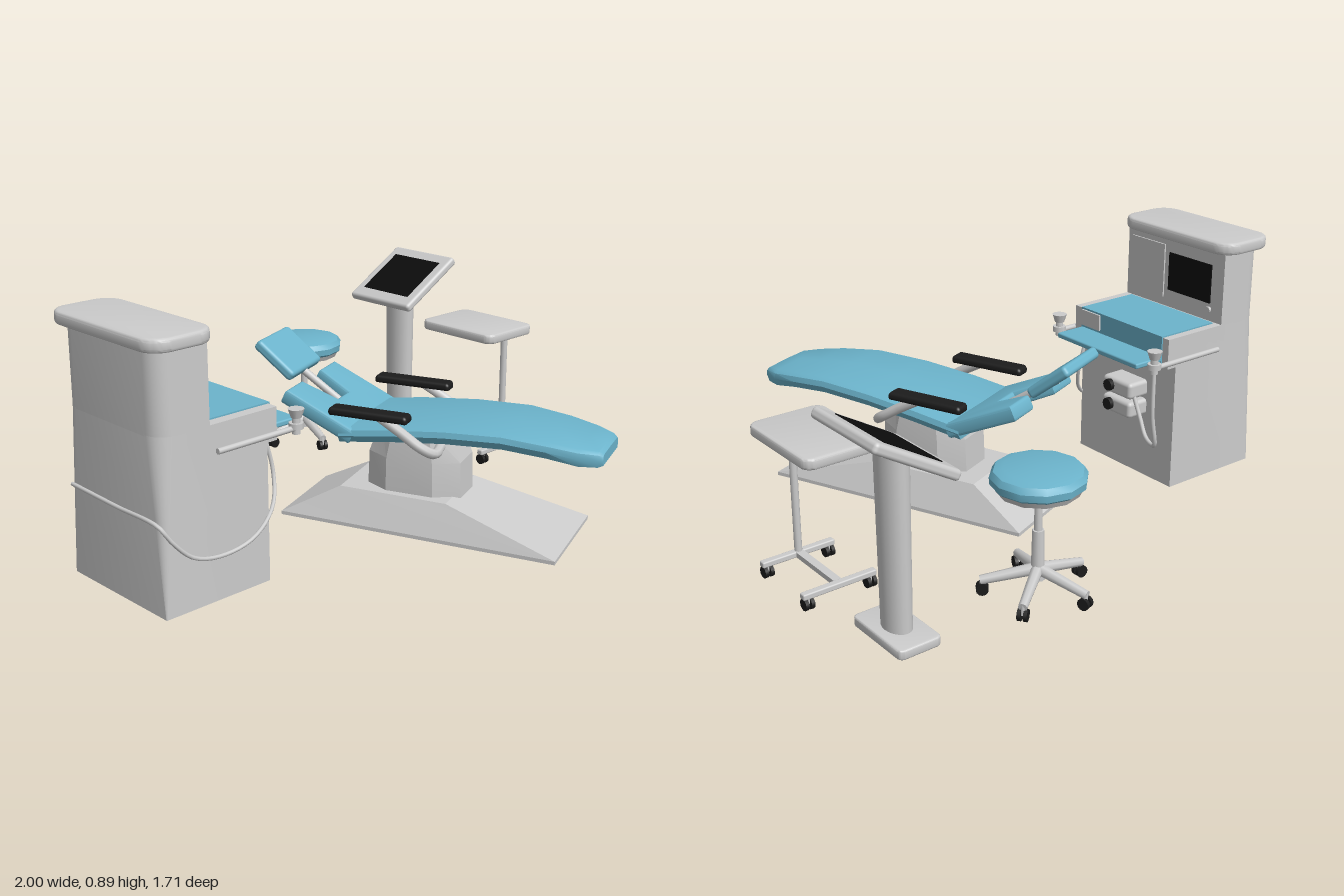
import * as THREE from 'three';
import { toCreasedNormals } from 'three/addons/utils/BufferGeometryUtils.js';
import { RoundedBoxGeometry } from 'three/addons/geometries/RoundedBoxGeometry.js';

const mat = (color, o = {}) => new THREE.MeshStandardMaterial({ color, ...o });
const grey = mat(0xcccccc), blue = mat(0x6cb4cc), black = mat(0x1c1c1c), dark = mat(0x0c0c0c);
const greyOpen = mat(0xcccccc, { side: THREE.DoubleSide });
const V = (x, y, z) => new THREE.Vector3(x, y, z);

function add(parent, name, geo, m, x = 0, y = 0, z = 0) {
  const mesh = new THREE.Mesh(geo, m);
  mesh.name = name;
  mesh.position.set(x, y, z);
  parent.add(mesh);
  return mesh;
}
function group(parent, name) {
  const g = new THREE.Group();
  g.name = name;
  parent.add(g);
  return g;
}
// box given by its limits, optionally rounded
function box(parent, name, m, [x0, x1], [y0, y1], [z0, z1], r = 0) {
  const s = [x1 - x0, y1 - y0, z1 - z0];
  const geo = r ? new RoundedBoxGeometry(...s, 2, r) : new THREE.BoxGeometry(...s);
  return add(parent, name, geo, m, (x0 + x1) / 2, (y0 + y1) / 2, (z0 + z1) / 2);
}
function tube(parent, name, m, pts, r, n = 24) {
  const curve = new THREE.CatmullRomCurve3(pts.map(p => V(...p)));
  return add(parent, name, new THREE.TubeGeometry(curve, n, r, 8), m);
}
function rod(parent, name, m, a, b, r0, r1 = r0, sides = 10) {
  const d = V(...b).sub(V(...a));
  const mesh = add(parent, name, new THREE.CylinderGeometry(r1, r0, d.length(), sides), m);
  mesh.position.set(...a).addScaledVector(d, 0.5);
  mesh.quaternion.setFromUnitVectors(V(0, 1, 0), d.normalize());
  return mesh;
}
// skin over rings of equal point count; faces are turned outward
function loft(rings, capStart = true, crease = 0.7) {
  const n = rings[0].length, pts = rings.flat(), idx = [];
  for (let i = 0; i < rings.length - 1; i++) for (let j = 0; j < n; j++) {
    const a = i * n + j, b = i * n + (j + 1) % n;
    idx.push(a, b, b + n, a, b + n, a + n);
  }
  const cap = (first, flip) => {
    const c = V(0, 0, 0);
    for (let j = 0; j < n; j++) c.addScaledVector(pts[first + j], 1 / n);
    const k = pts.push(c) - 1;
    for (let j = 0; j < n; j++) {
      const a = first + j, b = first + (j + 1) % n;
      idx.push(k, flip ? b : a, flip ? a : b);
    }
  };
  cap((rings.length - 1) * n, false);
  if (capStart) cap(0, true);
  let vol = 0;
  const o = pts[0];
  for (let i = 0; i < idx.length; i += 3) {
    const [a, b, c] = [0, 1, 2].map(k => pts[idx[i + k]].clone().sub(o));
    vol += a.dot(b.cross(c));
  }
  if (vol < 0) idx.reverse();
  const g = new THREE.BufferGeometry().setFromPoints(pts);
  g.setIndex(idx);
  return toCreasedNormals(g, crease);
}
function roundedRect(w, h, r) {
  const s = new THREE.Shape(), x = w / 2, y = h / 2;
  s.absarc(x - r, y - r, r, 0, Math.PI / 2);
  s.absarc(-x + r, y - r, r, Math.PI / 2, Math.PI);
  s.absarc(-x + r, -y + r, r, Math.PI, Math.PI * 1.5);
  s.absarc(x - r, -y + r, r, Math.PI * 1.5, Math.PI * 2);
  return s;
}
// horizontal slab with rounded plan and softened edges
function slab(parent, name, m, [x0, x1], [y0, y1], [z0, z1], r, bevel = 0.01) {
  const geo = new THREE.ExtrudeGeometry(roundedRect(x1 - x0 - 2 * bevel, z1 - z0 - 2 * bevel, r), {
    depth: y1 - y0 - 2 * bevel, bevelSize: bevel, bevelThickness: bevel, bevelSegments: 3, curveSegments: 6 });
  geo.rotateX(-Math.PI / 2);
  return add(parent, name, toCreasedNormals(geo, 0.7), m, (x0 + x1) / 2, y0 + bevel, (z0 + z1) / 2);
}
function caster(parent, x, y, z, turn = 0) {
  const g = group(parent, 'caster');
  for (const s of [-1, 1]) add(g, 'wheel', new THREE.CylinderGeometry(0.02, 0.02, 0.012, 12).rotateX(Math.PI / 2), black, 0, 0, s * 0.01);
  add(g, 'casterStem', new THREE.CylinderGeometry(0.008, 0.008, 0.04, 8), grey, 0, 0.02, 0);
  g.position.set(x, y, z);
  g.rotation.y = turn;
}

function cabinet(root) {
  const g = group(root, 'cabinet');
  // plan with square front corners and back corners rounded by r
  const plan = (y, x1, r) => {
    const p = [V(x1, y, -0.33), V(x1, y, 0.17)];
    for (const [cz, a0] of [[0.17 - r, 0], [-0.33 + r, Math.PI / 2]]) for (let i = 0; i <= 6; i++) {
      const a = a0 + i * Math.PI / 12;
      p.push(V(-0.97 + r - Math.sin(a) * r, y, cz + Math.cos(a) * r));
    }
    return p;
  };
  add(g, 'cabinetBody', loft([plan(0, -0.555, 0.004), plan(0.3, -0.555, 0.035), plan(0.585, -0.555, 0.065)]), grey);
  add(g, 'cabinetColumn', loft([plan(0.58, -0.78, 0.065), plan(0.855, -0.78, 0.065)]), grey);
  slab(g, 'cabinetCap', grey, [-1, -0.755], [0.85, 0.895], [-0.36, 0.2], 0.06, 0.012);
  box(g, 'columnDoor', grey, [-0.79, -0.774], [0.62, 0.825], [-0.03, 0.145]);
  box(g, 'cabinetScreen', dark, [-0.79, -0.774], [0.655, 0.8], [-0.27, -0.055]);
  add(g, 'columnButton', new THREE.CylinderGeometry(0.012, 0.012, 0.014, 12).rotateZ(Math.PI / 2), grey, -0.777, 0.63, -0.265);
  // worktop
  box(g, 'desk', grey, [-0.8, -0.515], [0.475, 0.587], [-0.33, 0.17]);
  box(g, 'deskPad', blue, [-0.765, -0.51], [0.48, 0.592], [-0.3, 0.13]);
  box(g, 'controlPanel', grey, [-0.52, -0.503], [0.525, 0.585], [0.025, 0.125]);
  box(g, 'instrumentTray', blue, [-0.53, -0.39], [0.495, 0.515], [-0.3, 0.13], 0.006);
  // side rails with instrument holders
  for (const z of [0.178, -0.338]) {
    rod(g, 'sideRail', grey, [-0.76, 0.5, z], [-0.44, 0.5, z], 0.01);
    rod(g, 'holderStem', grey, [-0.44, 0.48, z], [-0.44, 0.545, z], 0.014);
    rod(g, 'holderCup', grey, [-0.44, 0.535, z], [-0.44, 0.565, z], 0.018, 0.028);
    rod(g, 'holderRing', grey, [-0.44, 0.498, z], [-0.44, 0.518, z], 0.025);
  }
  // suction boxes under the worktop
  for (const y of [0.245, 0.32]) {
    box(g, 'suctionBox', grey, [-0.57, -0.468], [y, y + 0.063], [-0.19, -0.04], 0.015);
    add(g, 'suctionKnob', new THREE.CylinderGeometry(0.022, 0.022, 0.02, 12).rotateZ(Math.PI / 2), black, -0.462, y + 0.035, -0.085);
  }
  // hoses
  tube(g, 'sideHose', grey, [[-0.98, 0.32, -0.3], [-0.982, 0.315, -0.05], [-0.98, 0.31, 0.165], [-0.95, 0.26, 0.185], [-0.87, 0.185, 0.19],
    [-0.75, 0.16, 0.19], [-0.63, 0.185, 0.19], [-0.53, 0.25, 0.16], [-0.49, 0.34, 0.12], [-0.51, 0.48, 0.1]], 0.007, 48);
  tube(g, 'instrumentHose', grey, [[-0.44, 0.49, -0.338], [-0.435, 0.32, -0.345], [-0.455, 0.2, -0.34],
    [-0.48, 0.2, -0.27], [-0.495, 0.26, -0.22], [-0.5, 0.35, -0.17]], 0.008, 40);
}

function chair(root) {
  const g = group(root, 'patientChair');
  g.position.set(0.17, 0, 0.22);
  g.rotation.y = 0.385;
  const rect = (y, wBack, wFront, zBack, zFront) =>
    [V(-wBack, y, zBack), V(wBack, y, zBack), V(wFront, y, zFront), V(-wFront, y, zFront)];
  // hollow sloping foot plate
  add(g, 'chairBase', loft([rect(0.022, 0.19, 0.215, -0.51, 0.51), rect(0.035, 0.19, 0.215, -0.51, 0.51),
    rect(0.148, 0.14, 0.15, -0.3, 0.1)], false, 0.1), greyOpen);
  // eight-sided pedestal
  const oct = (y, w, l) => [[1, 0.5], [0.55, 1], [-0.55, 1], [-1, 0.5], [-1, -0.5], [-0.55, -1], [0.55, -1], [1, -0.5]]
    .map(([a, b]) => V(a * w, y, b * l - 0.05));
  add(g, 'pedestal', loft([oct(0.14, 0.115, 0.175), oct(0.27, 0.115, 0.17), oct(0.39, 0.1, 0.13)], true, 0.2), grey);
  // seat and leg cushion: position, top height, half width, thickness
  const section = [[-1, 0.45], [-0.97, 0.8], [-0.86, 0.96], [0, 1], [0.86, 0.96], [0.97, 0.8], [1, 0.45], [0.93, 0], [-0.93, 0]];
  const seat = [[0.625, 0.39, 0.105, 0.04], [0.61, 0.4, 0.118, 0.055], [0.55, 0.41, 0.15, 0.06], [0.45, 0.425, 0.173, 0.055], [0.3, 0.44, 0.19, 0.055],
    [0.1, 0.433, 0.2, 0.055], [-0.1, 0.413, 0.205, 0.055], [-0.28, 0.388, 0.205, 0.055]];
  add(g, 'seatCushion', loft(seat.map(([z, y, w, t]) => section.map(([u, v]) => V(u * w, y - t + t * v, z)))), blue);
  // backrest with a head notch
  const s = new THREE.Shape([[-0.19, 0], [0.19, 0], [0.19, 0.26], [0.085, 0.26], [0.055, 0.12], [-0.055, 0.12], [-0.085, 0.26], [-0.19, 0.26]]
    .map(p => new THREE.Vector2(...p)));
  const back = add(g, 'backrest', toCreasedNormals(new THREE.ExtrudeGeometry(s, {
    depth: 0.035, bevelSize: 0.012, bevelThickness: 0.01, bevelSegments: 3 }), 0.6), blue, 0, 0.345, -0.25);
  back.rotation.x = 0.43 - Math.PI / 2;
  const rest = add(g, 'headrest', new RoundedBoxGeometry(0.235, 0.18, 0.04, 3, 0.014), blue, 0, 0.57, -0.57);
  rest.rotation.x = 0.67 - Math.PI / 2;
  rod(g, 'headrestBar', grey, [0, 0.4, -0.34], [0, 0.54, -0.55], 0.014);
  // arms
  for (const m of [-1, 1]) {
    tube(g, 'armSupport', grey, [[m * 0.1, 0.335, 0.06], [m * 0.18, 0.335, 0.065], [m * 0.21, 0.36, 0.03],
      [m * 0.212, 0.41, -0.05], [m * 0.208, 0.455, -0.13]], 0.018);
    const pad = new RoundedBoxGeometry(0.062, 0.03, 0.29, 4, 0.013), p = pad.attributes.position;
    for (let i = 0; i < p.count; i++) {
      const z = p.getZ(i);
      p.setY(i, p.getY(i) + 0.02 * (1 - (z / 0.145) ** 2));
    }
    add(g, 'armPadSide', pad, black, m * 0.207, 0.452, -0.16);
    // pad bent downward: forward and rear halves
    rod(g, 'armPadCore', black, [m * 0.207, 0.456, -0.28], [m * 0.207, 0.456, -0.04], 0.014);
  }
}

function stool(root) {
  const g = group(root, 'stool');
  g.position.set(0.37, 0, -0.685);
  const profile = [[0, 0.42], [0.135, 0.42], [0.15, 0.432], [0.152, 0.455], [0.14, 0.474], [0.11, 0.482], [0, 0.484]];
  add(g, 'stoolCushion', toCreasedNormals(new THREE.LatheGeometry(profile.map(p => new THREE.Vector2(...p)), 12), 0.6), blue);
  rod(g, 'stoolPlate', grey, [0, 0.405, 0], [0, 0.425, 0], 0.13, 0.14, 12);
  rod(g, 'stoolPole', grey, [0, 0.2, 0], [0, 0.41, 0], 0.013);
  rod(g, 'stoolSleeve', grey, [0, 0.1, 0], [0, 0.27, 0], 0.023, 0.019);
  for (let i = 0; i < 5; i++) {
    const a = Math.PI + i * Math.PI * 0.4, c = Math.cos(a), d = Math.sin(a);
    rod(g, 'stoolLeg', grey, [c * 0.01, 0.135, d * 0.01], [c * 0.178, 0.098, d * 0.178], 0.02, 0.015, 8);
    caster(g, c * 0.172, 0.07, d * 0.172, -a);
  }
}

function monitor(root) {
  const g = group(root, 'monitorStand');
  g.position.set(0.835, 0, -0.595);
  slab(g, 'standBase', grey, [-0.075, 0.075], [0.033, 0.065], [-0.13, 0.13], 0.015, 0.005);
  const post = add(g, 'standPost', new THREE.CylinderGeometry(0.066, 0.06, 0.57, 20), grey, 0, 0.345, 0);
  post.scale.x = 0.7;
  const head = group(g, 'monitorHead');
  head.position.set(0.016, 0.657, 0);
  head.rotation.z = 0.53;
  add(head, 'monitorCase', new RoundedBoxGeometry(0.325, 0.035, 0.332, 3, 0.013), grey);
  add(head, 'monitorScreen', new THREE.BoxGeometry(0.22, 0.006, 0.25), dark, 0, 0.017, 0);
}

function trolley(root) {
  const g = group(root, 'trolley');
  slab(g, 'trolleyTop', grey, [0.71, 0.977], [0.513, 0.55], [-0.358, 0.006], 0.03, 0.008);
  rod(g, 'trolleyPole', grey, [0.842, 0.065, -0.032], [0.842, 0.52, -0.032], 0.013);
  box(g, 'trolleySpine', grey, [0.828, 0.856], [0.058, 0.076], [-0.285, -0.03]);
  for (const z of [-0.03, -0.285]) {
    box(g, 'trolleyCrossbar', grey, [0.71, 0.977], [0.056, 0.077], [z - 0.013, z + 0.013], 0.005);
    for (const x of [0.73, 0.957]) caster(g, x, 0.037, z, Math.PI / 2);
  }
}

export function createModel() {
  const root = new THREE.Group();
  root.name = 'treatmentRoom';
  [cabinet, chair, stool, monitor, trolley].forEach(build => build(root));
  return root;
}
